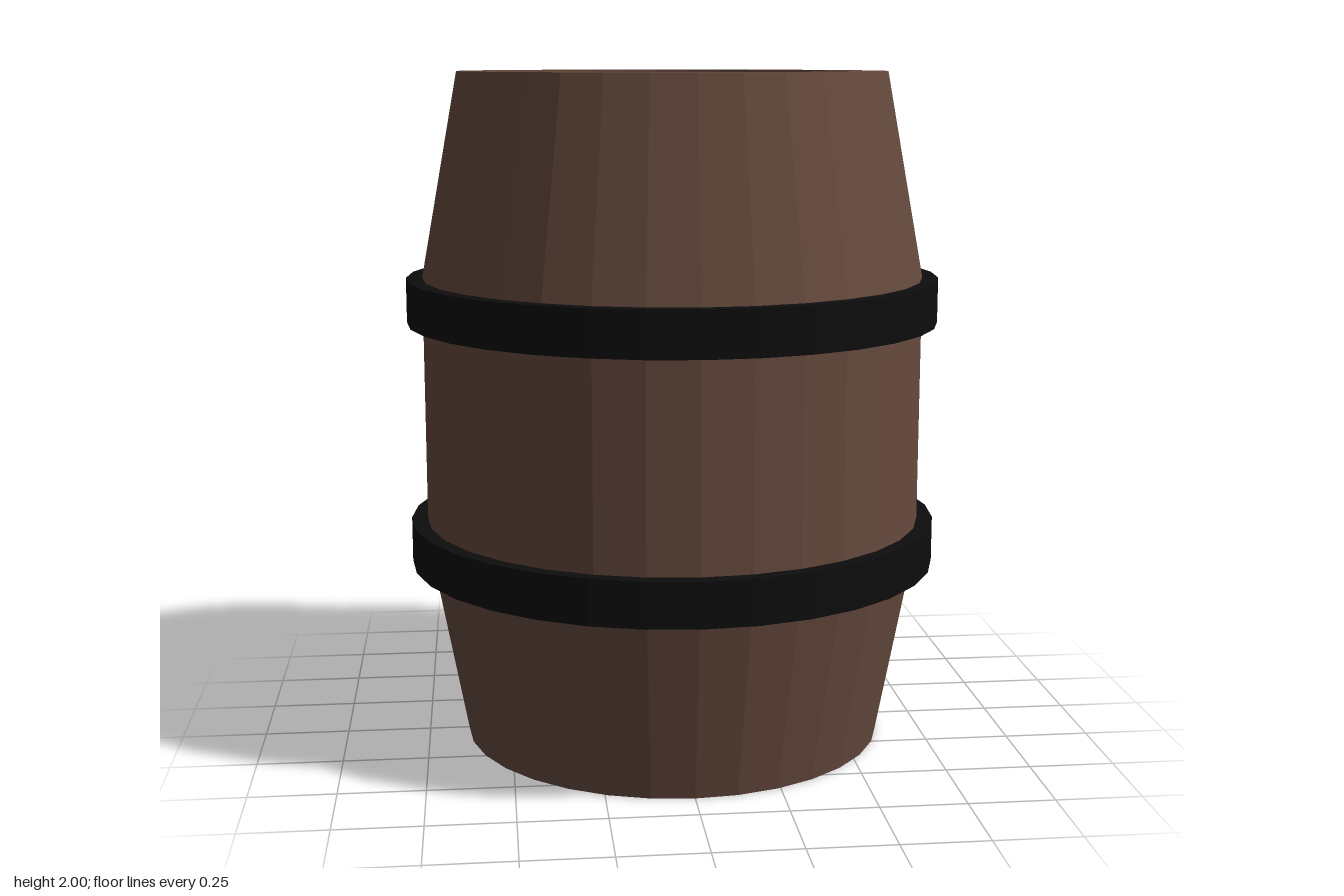
import * as THREE from 'three';

const SIDES = 32;

// Faceted solid of revolution; profile points are [radius, y], listed bottom to top on the outside.
function turned(name, profile, material) {
  const points = profile.map(([r, y]) => new THREE.Vector2(r, y));
  const mesh = new THREE.Mesh(new THREE.LatheGeometry(points, SIDES), material);
  mesh.name = name;
  return mesh;
}

export function createModel() {
  const barrel = new THREE.Group();
  barrel.name = 'barrel';
  const wood = new THREE.MeshStandardMaterial({ color: 0x664a3e, flatShading: true });
  const iron = new THREE.MeshStandardMaterial({ color: 0x0d0d0d, flatShading: true });

  // Staves with a raised rim at both ends
  const depth = 0.085;
  const staves = turned('staves', [
    [0.53, depth], [0.53, 0], [0.63, 0], [0.742, 0.6],
    [0.742, 1.4], [0.63, 2], [0.53, 2], [0.53, 2 - depth],
  ], wood);

  // Recessed round heads
  const bottomHead = turned('bottomHead', [[0, depth], [0.53, depth]], wood);
  const topHead = turned('topHead', [[0.53, 2 - depth], [0, 2 - depth]], wood);

  // The wooden body sits very slightly forward inside the hoops
  const body = new THREE.Group();
  body.name = 'body';
  body.position.z = 0.006;
  body.add(staves, bottomHead, topHead);
  barrel.add(body);

  // Two iron hoops
  for (const [name, y] of [['lowerHoop', 0.54], ['upperHoop', 1.267]]) {
    const h = 0.132;
    const hoop = turned(name, [[0.71, 0], [0.79, 0], [0.79, h], [0.71, h], [0.71, 0]], iron);
    hoop.position.y = y;
    barrel.add(hoop);
  }
  return barrel;
}
